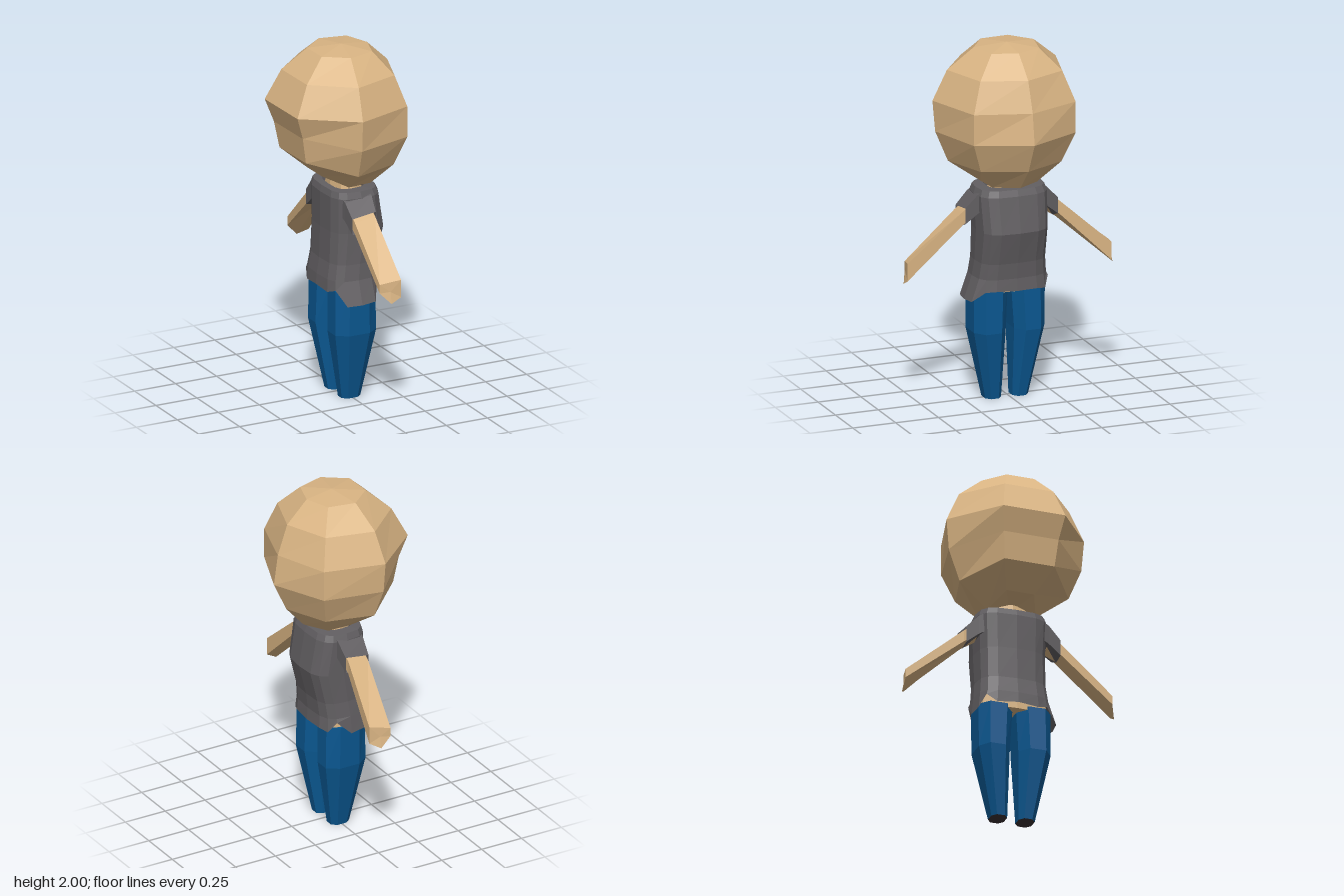
import * as THREE from 'three';

const mat = (color) => new THREE.MeshStandardMaterial({ color, flatShading: true, side: THREE.DoubleSide });

// Skin a stack of equal-length rings (clockwise about the stacking direction), with optional caps
function loft(rings, capStart = true, capEnd = true) {
  const n = rings[0].length, pos = [];
  const tri = (a, b, c) => pos.push(...a, ...b, ...c);
  for (let r = 0; r < rings.length - 1; r++) {
    const lo = rings[r], hi = rings[r + 1];
    for (let i = 0; i < n; i++) {
      const j = (i + 1) % n;
      tri(lo[i], hi[i], lo[j]);
      tri(lo[j], hi[i], hi[j]);
    }
  }
  const centre = (ring) => [0, 1, 2].map((k) => ring.reduce((s, p) => s + p[k], 0) / n);
  const cap = (ring, flip) => {
    const c = centre(ring);
    ring.forEach((p, i) => {
      const q = ring[(i + 1) % n];
      flip ? tri(c, p, q) : tri(c, q, p);
    });
  };
  if (capStart) cap(rings[0], true);
  if (capEnd) cap(rings[rings.length - 1], false);
  const g = new THREE.BufferGeometry();
  g.setAttribute('position', new THREE.Float32BufferAttribute(pos, 3));
  g.computeVertexNormals();
  return g;
}

// Rounded horizontal section: power below 1 makes it squarer
function section(y, x0, x1, z0, z1, n, power, turn = 0) {
  const squash = (v) => Math.sign(v) * Math.abs(v) ** power;
  return Array.from({ length: n }, (_, i) => {
    const a = ((i + turn) / n) * Math.PI * 2;
    return [
      (x0 + x1) / 2 + (squash(Math.cos(a)) * (x1 - x0)) / 2, y,
      (z0 + z1) / 2 + (squash(Math.sin(a)) * (z1 - z0)) / 2,
    ];
  });
}

export function createModel() {
  const model = new THREE.Group();
  const skin = mat(0xd9b483), cloth = mat(0x625f62), denim = mat(0x0a5790), dark = mat(0x3a3335);
  const add = (name, geometry, material) => {
    const m = new THREE.Mesh(geometry, material);
    m.name = name;
    model.add(m);
    return m;
  };

  // Head: seven-sided, face towards +x, raised at the nape
  // Each level: y, nape y, radii at face / cheek / side / nape
  const levels = [
    [1.22, 1.29, 0.18, 0.17, 0.145, 0.185],
    [1.345, 1.41, 0.29, 0.305, 0.325, 0.335],
    [1.515, 1.56, 0.37, 0.385, 0.395, 0.365],
    [1.69, 1.69, 0.345, 0.385, 0.41, 0.415],
    [1.86, 1.86, 0.285, 0.31, 0.33, 0.325],
    [1.98, 1.98, 0.16, 0.18, 0.182, 0.185],
  ];
  const headRings = levels.map(([y, nape, ...radii]) =>
    Array.from({ length: 7 }, (_, i) => {
      const zone = Math.min(i, 7 - i), a = (i / 7) * Math.PI * 2 - 0.035;
      return [radii[zone] * Math.cos(a), zone === 3 ? nape : y, radii[zone] * Math.sin(a)];
    }));
  headRings.push(headRings[5].map(() => [0, 2, 0]));
  add('head', loft(headRings, true, false), skin);

  // Neck and the body glimpsed under the hem
  add('neck', loft([section(1.12, -0.08, 0.1, -0.13, 0.13, 8, 0.8),
    section(1.27, -0.06, 0.09, -0.11, 0.11, 8, 0.8)]), skin);
  add('waist', loft([section(0.62, -0.12, 0.125, -0.195, 0.205, 12, 0.6),
    section(0.8, -0.115, 0.13, -0.18, 0.18, 12, 0.6)]), skin);

  // Shirt with a ragged, flared hem
  const body = [
    [0.63, -0.155, 0.155, 0.215], [0.7, -0.15, 0.15, 0.205], [0.79, -0.135, 0.16, 0.195],
    [0.97, -0.13, 0.205, 0.195], [1.17, -0.13, 0.17, 0.203], [1.205, -0.12, 0.155, 0.19],
    [1.207, -0.08, 0.1, 0.13],
  ].map(([y, x0, x1, z]) => section(y, x0, x1, -z, z, 16, 0.62));
  const tatter = [0, 0.005, 0, -0.055, -0.06, -0.06, 0.02, 0, 0.01, 0, 0.045, -0.02, -0.03, 0.05, -0.01, 0];
  body[0].forEach((p, i) => {
    p[1] += tatter[i];
    if (i > 2 && i < 6) p[2] += 0.035;
  });
  add('shirt', loft(body, false, false), cloth);

  // Arms and sleeves: sections given as z, then x and y extents
  for (const s of [1, -1]) {
    const side = s > 0 ? 'left' : 'right';
    const slab = (z, x0, x1, top, bottom, skew = 0) => {
      const ring = [[x0, bottom + skew, s * z], [x0, top - 0.02, s * z], [x1, top, s * z],
        [x1, bottom + 0.03, s * z], [(x0 + x1) / 2, bottom, s * z]];
      return s > 0 ? ring : ring.reverse();
    };
    const shift = s > 0 ? 0 : 0.047;
    const tip = slab(0.6, -0.063 + shift, 0.052 + shift, 0.825, 0.695, 0.06);
    // The hand end is cut at a slight slant
    tip.forEach((p) => { if (s > 0 ? p[0] < -0.05 : p[0] > 0.09) p[2] -= s * 0.03; });
    add(side + 'Arm', loft([slab(0.2, -0.06, 0.06, 1.145, 1.03, 0.02),
      slab(0.28, -0.062, 0.06, 1.085, 0.98, 0.02), tip]), skin);
    add(side + 'Sleeve', loft([slab(0.16, -0.085, 0.085, 1.2, 1.06, 0.01),
      slab(0.2, -0.08, 0.08, 1.178, 1.04, 0.01),
      slab(0.27, -0.073, 0.07, 1.105, 0.985, 0.01)], true, false), cloth);

    // Trouser legs, wide at the thigh and narrow at the ankle
    const [inner, hip, thigh, knee, foot] = s > 0
      ? [0.012, 0.222, 0.222, 0.025, 0.14] : [-0.005, 0.205, 0.2, 0.012, 0.115];
    const leg = (y, x, zi, zo) => s > 0
      ? section(y, -x, x, zi, zo, 8, 0.8, 0.5) : section(y, -x, x, -zo, -zi, 8, 0.8, 0.5);
    const ankle = leg(0, 0.06, s > 0 ? 0.042 : 0.018, foot);
    add(side + 'Leg', loft([ankle, leg(0.39, 0.133, knee, thigh), leg(0.64, 0.128, inner, hip)], false, true), denim);
    add(side + 'Sole', loft([ankle, ankle.map(([x, , z]) => [x, 0.004, z])], true, false), dark);
  }
  return model;
}
